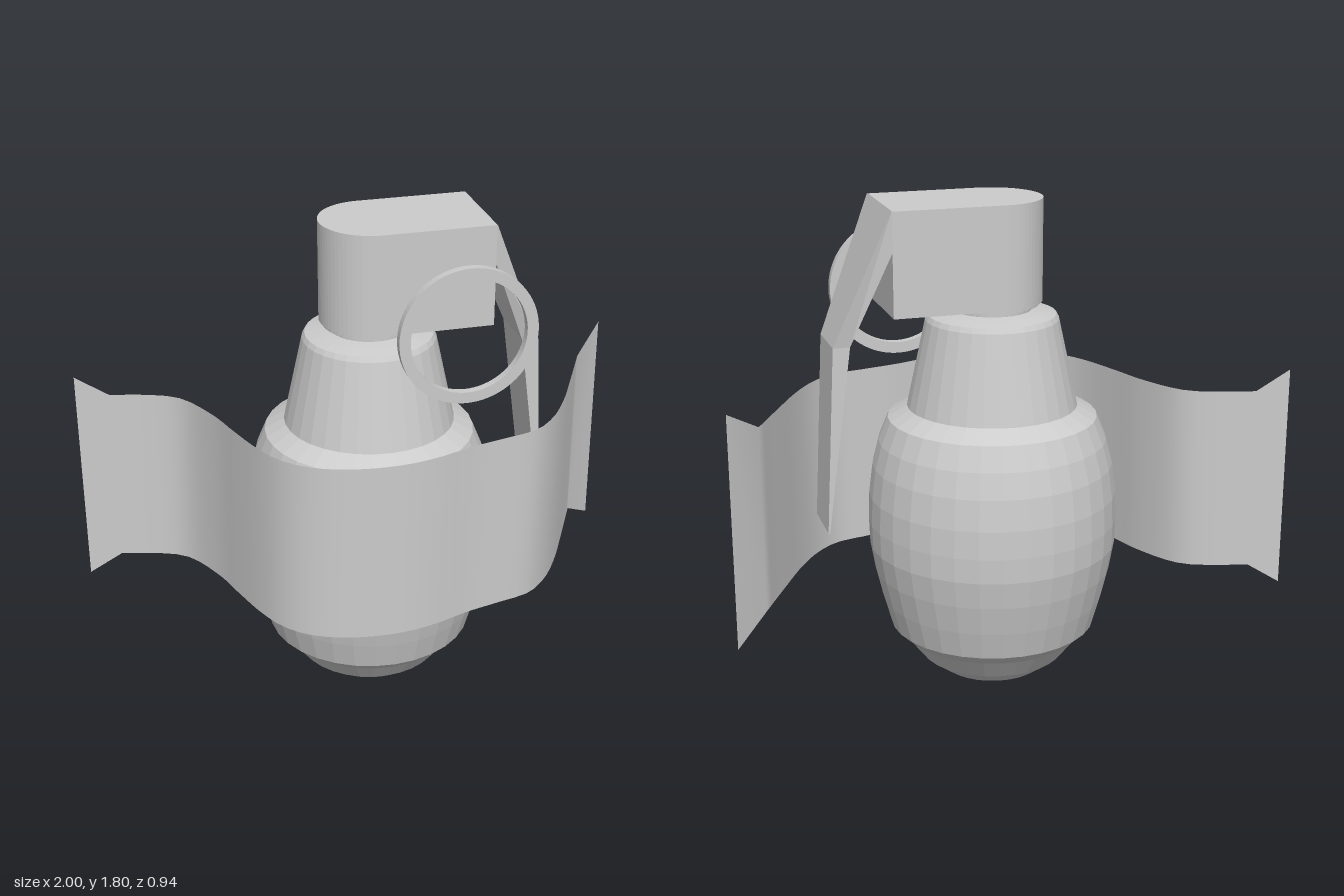
import * as THREE from 'three';

const grey = (opts = {}) => new THREE.MeshStandardMaterial({ color: 0xcccccc, ...opts });

function addMesh(group, name, geometry, material) {
  const mesh = new THREE.Mesh(geometry, material);
  mesh.name = name;
  group.add(mesh);
  return mesh;
}

// Turned part from [radius, height] pairs, on the body's axis
function turned(group, name, profile) {
  const geo = new THREE.LatheGeometry(profile.map(([r, y]) => new THREE.Vector2(r, y)), 32);
  addMesh(group, name, geo, grey({ flatShading: true })).position.set(0.01, 0, -0.02);
}

// Bent lever: four-cornered sections joined from top to bottom, thinning to an edge
function leverGeometry() {
  // outer x, outer y, inner x, inner y, back z, front z
  const sections = [
    [0.41, 1.8, 0.41, 1.66, -0.205, 0.155],
    [0.605, 1.33, 0.545, 1.33, -0.128, 0.078],
    [0.64, 0.665, 0.634, 0.665, -0.128, 0.078],
  ].map(([xo, yo, xi, yi, z0, z1]) => [[xo, yo, z1], [xo, yo, z0], [xi, yi, z0], [xi, yi, z1]]);
  const pos = [];
  const quad = (a, b, c, d) => pos.push(...a, ...b, ...c, ...a, ...c, ...d);
  for (let i = 0; i < sections.length - 1; i++) {
    const c = sections[i], d = sections[i + 1];
    for (let k = 0; k < 4; k++) {
      const n = (k + 1) % 4;
      quad(c[k], d[k], d[n], c[n]);
    }
  }
  const e = sections[sections.length - 1];
  quad(e[0], e[3], e[2], e[1]);
  const geo = new THREE.BufferGeometry();
  geo.setAttribute('position', new THREE.Float32BufferAttribute(pos, 3));
  geo.computeVertexNormals();
  return geo;
}

// Thin banner: a curve in plan swept upright, with flared ends
function bannerGeometry() {
  const plan = [
    [-0.88, -0.32], [-0.76, -0.29], [-0.645, -0.235], [-0.55, -0.07], [-0.5, 0.08],
    [-0.45, 0.22], [-0.395, 0.325], [-0.31, 0.405], [-0.17, 0.458], [0, 0.47],
    [0.13, 0.447], [0.26, 0.402], [0.4, 0.368], [0.52, 0.335], [0.61, 0.255],
    [0.69, 0.14], [0.78, -0.025], [0.88, -0.215],
  ];
  const curve = new THREE.CatmullRomCurve3(plan.map(([x, z]) => new THREE.Vector3(x, 0, z)));
  const columns = [
    [-1, -0.338, 0.365, 1.18],
    ...curve.getSpacedPoints(48).map((p) => [p.x, p.z, 0.44, 1.105]),
    [1, -0.317, 0.355, 1.19],
  ];
  const pos = [], index = [];
  columns.forEach(([x, z, low, high], i) => {
    pos.push(x, low, z, x, high, z);
    if (i > 0) {
      const a = 2 * i - 2;
      index.push(a, a + 2, a + 3, a, a + 3, a + 1);
    }
  });
  const geo = new THREE.BufferGeometry();
  geo.setAttribute('position', new THREE.Float32BufferAttribute(pos, 3));
  geo.setIndex(index);
  geo.computeVertexNormals();
  return geo;
}

export function createModel() {
  const model = new THREE.Group();
  model.name = 'grenadeWithBanner';

  // Egg-shaped body with a rounded bottom cap
  turned(model, 'body', [
    [0, 0], [0.1, 0.01], [0.19, 0.047], [0.265, 0.102], [0.328, 0.183], [0.375, 0.226],
    [0.404, 0.33], [0.43, 0.44], [0.447, 0.54], [0.45, 0.63], [0.447, 0.73],
    [0.433, 0.84], [0.41, 0.93], [0.375, 1.015], [0.305, 1.055], [0.29, 1.06],
  ]);

  // Tapered neck with a thin collar under the head
  turned(model, 'neck', [
    [0.305, 1.055], [0.293, 1.11], [0.237, 1.368], [0.227, 1.386], [0.18, 1.396],
    [0.14, 1.403], [0.14, 1.415], [0.165, 1.421], [0.165, 1.438],
  ]);

  // Fuse head: block rounded on one end
  const headShape = new THREE.Shape();
  headShape.moveTo(0.41, 0.205);
  headShape.lineTo(0.015, 0.205);
  headShape.absarc(0.015, 0.025, 0.18, Math.PI / 2, Math.PI * 1.5, false);
  headShape.lineTo(0.41, -0.155);
  headShape.closePath();
  const headGeo = new THREE.ExtrudeGeometry(headShape, { depth: 0.363, bevelEnabled: false, curveSegments: 16 });
  headGeo.rotateX(-Math.PI / 2).translate(0, 1.435, 0);
  addMesh(model, 'fuseHead', headGeo, grey());

  addMesh(model, 'lever', leverGeometry(), grey({ flatShading: true }));

  // Flat pull ring in front of the head
  const ringShape = new THREE.Shape();
  ringShape.absarc(0, 0, 0.247, 0, Math.PI * 2, false);
  const hole = new THREE.Path();
  hole.absarc(0, 0, 0.207, 0, Math.PI * 2, true);
  ringShape.holes.push(hole);
  const ringGeo = new THREE.ExtrudeGeometry(ringShape, { depth: 0.03, bevelEnabled: false, curveSegments: 40 });
  addMesh(model, 'pullRing', ringGeo, grey()).position.set(0.29, 1.445, 0.225);

  addMesh(model, 'banner', bannerGeometry(), grey({ side: THREE.DoubleSide }));

  return model;
}
